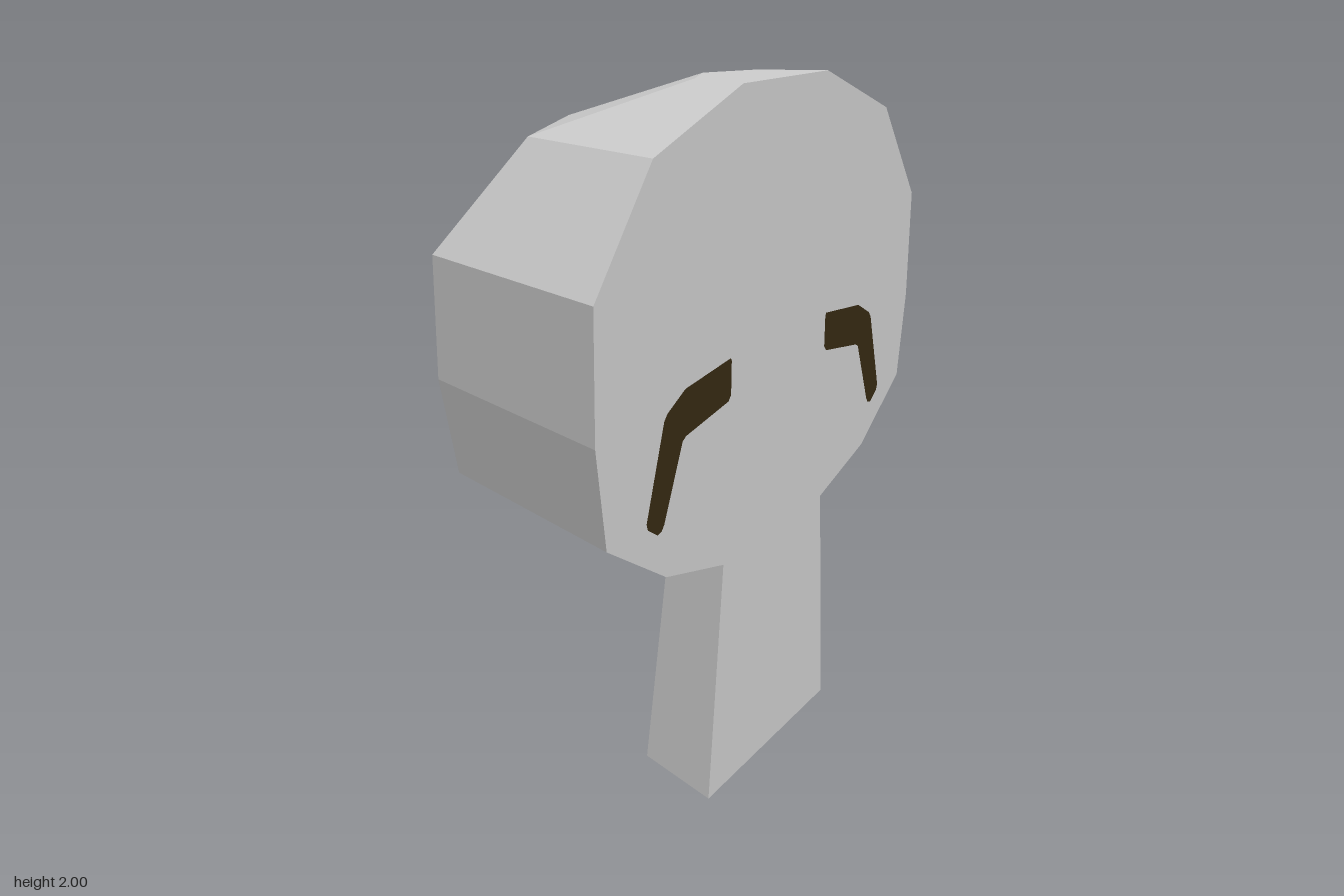
import * as THREE from 'three';

const FACE_X = 0.485; // plane of the flat cut face

// Outlines as [radius, height], bottom to top
const STEM = [[0, 0], [0.385, 0], [0.32, 0.7]];
const CAP = [[0.32, 0.7], [0.635, 0.78], [0.92, 0.95], [0.967, 1.22], [0.97, 1.56], [0.71, 1.86], [0.26, 2], [0, 2]];

// Bent brow mark as [across, height]
const MARK = [
  [0.305, 1.288], [0.55, 1.264], [0.64, 1.222], [0.656, 1.205], [0.74, 0.96], [0.733, 0.942], [0.685, 0.913],
  [0.665, 0.917], [0.652, 0.932], [0.562, 1.127], [0.545, 1.137], [0.315, 1.17], [0.3, 1.185], [0.3, 1.28],
];

const vec = ([x, y]) => new THREE.Vector2(x, y);

export function createModel() {
  const group = new THREE.Group();
  const grey = new THREE.MeshStandardMaterial({ color: 0xcccccc });
  grey.name = 'grey';
  const darkBrown = new THREE.MeshStandardMaterial({ color: 0x352912 });
  darkBrown.name = 'dark brown';

  const add = (name, geometry, material) => {
    const mesh = new THREE.Mesh(geometry, material);
    mesh.name = name;
    group.add(mesh);
    return mesh;
  };

  // Half of a faceted octagonal turning, on the -x side of the cut
  const halfTurned = (name, profile) => {
    const geometry = new THREE.LatheGeometry(profile.map(vec), 4, Math.PI, Math.PI).toNonIndexed();
    geometry.computeVertexNormals();
    add(name, geometry, grey).position.x = FACE_X;
  };

  // Flat outline facing +x
  const plate = (name, points, material, x) => {
    const mesh = add(name, new THREE.ShapeGeometry(new THREE.Shape(points.map(vec))), material);
    mesh.rotation.y = Math.PI / 2;
    mesh.position.x = x;
  };
  const mirrored = (points) => points.map(([u, v]) => [-u, v]).reverse();

  halfTurned('stem', STEM);
  halfTurned('cap', CAP);

  // Cut face closing both halves
  const stemSide = STEM.slice(1);
  const capSide = CAP.slice(0, -1);
  plate('stemCutFace', [...stemSide, ...mirrored(stemSide)], grey, FACE_X);
  plate('capCutFace', [...capSide, ...mirrored(capSide)], grey, FACE_X);

  // Pair of brow marks
  plate('rearMark', MARK, darkBrown, FACE_X + 0.003);
  plate('frontMark', mirrored(MARK), darkBrown, FACE_X + 0.003);

  return group;
}
